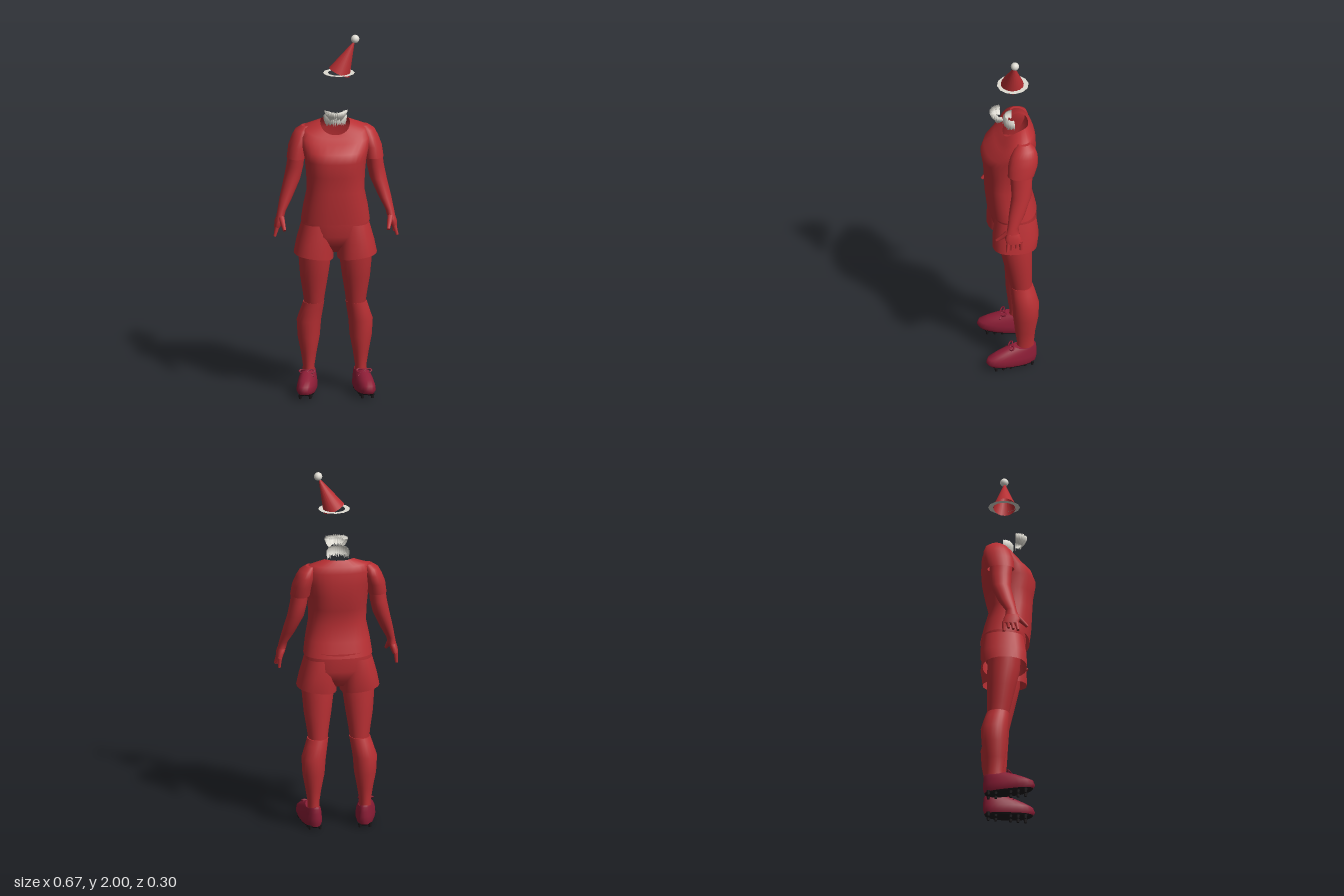
import * as THREE from 'three';

const mat = (name, color) => Object.assign(new THREE.MeshStandardMaterial({ color }), { name });

// Skin a stack of rings, bottom to top. Ring: [y, centreX, halfWidth, zFront, zBack, yFront, yBack]
function loft(rings, { n = 24, e = 2.3, bottom = false, top = false, side = 1, shear = 0 } = {}) {
  const pos = [], idx = [];
  const pw = (v) => Math.sign(v) * Math.abs(v) ** (2 / e);
  const addRing = ([y, cx, rx, zf, zb, yf = y, yb = y]) => {
    const start = pos.length / 3;
    for (let j = 0; j < n; j++) {
      const t = (j / n) * Math.PI * 2, s = pw(Math.sin(t));
      const z = (zf + zb) / 2 + ((zf - zb) / 2) * s;
      const x = side * (cx + shear * (z + 0.07)) + rx * pw(Math.cos(t));
      pos.push(x, y + (s * (yf - yb)) / 2 + s * s * ((yf + yb) / 2 - y), z);
    }
    return start;
  };
  const starts = rings.map(addRing);
  for (let i = 0; i < rings.length - 1; i++) {
    for (let j = 0; j < n; j++) {
      const k = (j + 1) % n, a = starts[i] + j, b = starts[i] + k, c = starts[i + 1] + j, d = starts[i + 1] + k;
      idx.push(a, c, b, b, c, d);
    }
  }
  const cap = (r, up) => {
    const s = addRing(r), z = (r[3] + r[4]) / 2, c = pos.length / 3;
    pos.push(side * (r[1] + shear * (z + 0.07)), r[0], z);
    for (let j = 0; j < n; j++) {
      const k = (j + 1) % n;
      up ? idx.push(c, s + k, s + j) : idx.push(c, s + j, s + k);
    }
  };
  if (bottom) cap(rings[0], false);
  if (top) cap(rings[rings.length - 1], true);
  const g = new THREE.BufferGeometry();
  g.setAttribute('position', new THREE.Float32BufferAttribute(pos, 3));
  g.setIndex(idx);
  g.computeVertexNormals();
  return g;
}

// Curved tuft of hair: rows of [radiusScale, y, jag] swept over a front-facing arc
function hairBand(rows, rx, rz, zc) {
  const n = 36, pos = [], idx = [];
  rows.forEach(([r, y, jag]) => {
    for (let j = 0; j <= n; j++) {
      const t = (j / n) * Math.PI;
      const tooth = jag * ((j % 2) * 0.6 + ((j * 7) % 5) * 0.1);
      pos.push(rx * r * Math.cos(t), y + tooth, zc + rz * r * Math.sin(t));
    }
  });
  for (let i = 0; i < rows.length - 1; i++) {
    for (let j = 0; j < n; j++) {
      const a = i * (n + 1) + j, c = a + n + 1;
      idx.push(a, c, a + 1, a + 1, c, c + 1);
    }
  }
  const g = new THREE.BufferGeometry();
  g.setAttribute('position', new THREE.Float32BufferAttribute(pos, 3));
  g.setIndex(idx);
  g.computeVertexNormals();
  return g;
}

export function createModel() {
  const model = new THREE.Group();
  const red = mat('red cloth', 0xb82f33);
  const crimson = mat('crimson shoe', 0x8c1d36);
  const white = mat('white fur', 0xdedbd2);
  const black = mat('black sole', 0x1d1a1c);
  [red, white].forEach((m) => (m.side = THREE.DoubleSide));

  const add = (name, geo, m, parent = model) => {
    const mesh = new THREE.Mesh(geo, m);
    mesh.name = name;
    parent.add(mesh);
    return mesh;
  };
  const V = (x, y, z) => new THREE.Vector3(x, y, z);
  // Tapered rod between two points
  const rod = (name, a, b, r0, r1, m, parent) => {
    const d = b.clone().sub(a);
    const mesh = add(name, new THREE.CylinderGeometry(r1, r0, d.length(), 8), m, parent);
    mesh.position.copy(a).add(b).multiplyScalar(0.5);
    mesh.quaternion.setFromUnitVectors(V(0, 1, 0), d.normalize());
    return mesh;
  };

  // Shirt with an open V neckline
  add('shirt', loft([
    [0.975, 0, 0.186, 0.122, -0.142],
    [1.06, 0, 0.174, 0.132, -0.122],
    [1.15, 0, 0.156, 0.136, -0.096],
    [1.24, 0, 0.158, 0.141, -0.118],
    [1.32, 0, 0.166, 0.155, -0.134],
    [1.375, 0, 0.178, 0.136, -0.139, 1.37, 1.39],
    [1.445, 0, 0.19, 0.08, -0.136, 1.413, 1.455],
    [1.486, 0, 0.165, 0.056, -0.125, 1.438, 1.49],
    [1.51, 0, 0.08, 0.036, -0.1, 1.455, 1.522],
  ], { n: 32, e: 2.4 }), red);

  // Shorts: hips, then one loose leg on each side
  add('shortsHips', loft([
    [0.8, 0, 0.06, 0.03, -0.08],
    [0.84, 0, 0.13, 0.07, -0.115],
    [0.9, 0, 0.192, 0.1, -0.143],
    [1.0, 0, 0.176, 0.102, -0.138],
  ], { n: 32, bottom: true }), red);

  for (const side of [1, -1]) {
    const limb = new THREE.Group();
    limb.name = side > 0 ? 'leftLimbs' : 'rightLimbs';
    model.add(limb);
    const part = (name, m, rings, opt = {}) => add(name, loft(rings, { side, ...opt }), m, limb);

    const shortsLeg = part('shortsLeg', red, [
      [0.778, 0.117, 0.107, 0.108, -0.13],
      [0.86, 0.11, 0.1, 0.106, -0.142],
      [0.96, 0.094, 0.088, 0.09, -0.13],
    ]);
    // Hem rises towards the outside
    const hem = shortsLeg.geometry.attributes.position;
    for (let i = 0; i < 24; i++) hem.setY(i, hem.getY(i) + 0.14 * (Math.abs(hem.getX(i)) - 0.117));

    part('thigh', red, [
      [0.48, 0.113, 0.05, 0.006, -0.105],
      [0.55, 0.113, 0.059, 0.022, -0.105],
      [0.65, 0.113, 0.075, 0.045, -0.106],
      [0.76, 0.11, 0.087, 0.07, -0.106],
      [0.86, 0.11, 0.085, 0.075, -0.1],
    ], { e: 2 });
    part('sock', red, [
      [0.08, 0.14, 0.033, -0.015, -0.115],
      [0.15, 0.14, 0.032, -0.02, -0.113],
      [0.22, 0.14, 0.043, -0.01, -0.12],
      [0.31, 0.14, 0.06, 0, -0.136],
      [0.4, 0.139, 0.066, 0.005, -0.141],
      [0.47, 0.122, 0.06, 0.01, -0.122],
      [0.505, 0.114, 0.057, 0.012, -0.111],
    ], { e: 2, top: true });

    // Sleeve, arm and hand
    part('sleeve', red, [
      [1.318, 0.208, 0.053, 0.04, -0.105],
      [1.38, 0.199, 0.053, 0.036, -0.125],
      [1.43, 0.183, 0.05, 0.02, -0.127],
      [1.465, 0.172, 0.042, 0, -0.115],
      [1.488, 0.155, 0.025, -0.025, -0.09],
    ], { e: 2, top: true });
    part('arm', red, [
      [1.0, 0.299, 0.022, 0.062, -0.01],
      [1.035, 0.291, 0.023, 0.052, -0.006],
      [1.1, 0.267, 0.034, 0.042, -0.045],
      [1.2, 0.232, 0.045, 0.022, -0.085],
      [1.27, 0.217, 0.046, 0.025, -0.092],
      [1.34, 0.208, 0.045, 0.03, -0.095],
    ], { e: 2 });
    part('palm', red, [
      [0.945, 0.315, 0.016, 0.062, -0.022],
      [0.975, 0.308, 0.021, 0.07, -0.02],
      [1.0, 0.299, 0.022, 0.062, -0.01],
    ], { n: 14, e: 2.4, bottom: true });
    for (let f = 0; f < 4; f++) {
      const z = 0.05 - f * 0.022;
      rod('finger', V(side * 0.314, 0.955, z), V(side * (0.33 - 0.004 * f), 0.9 + (f % 3) * 0.008, z * 1.15 + 0.002), 0.012, 0.008, red, limb);
    }
    rod('thumb', V(side * 0.293, 1.0, 0.05), V(side * 0.279, 0.945, 0.11), 0.017, 0.009, red, limb);

    // Shoe with sole, studs and laces, splayed slightly outwards
    const shear = 0.16;
    part('shoe', crimson, [
      [0.02, 0.14, 0.046, 0.138, -0.12, 0.03, 0.018],
      [0.04, 0.14, 0.054, 0.152, -0.127, 0.05, 0.04],
      [0.065, 0.14, 0.052, 0.142, -0.129, 0.075, 0.065],
      [0.088, 0.14, 0.047, 0.098, -0.127, 0.098, 0.092],
      [0.108, 0.14, 0.041, 0.05, -0.125, 0.118, 0.118],
      [0.118, 0.14, 0.036, 0.0, -0.118, 0.135, 0.128],
    ], { shear, top: true });
    part('sole', black, [
      [0.014, 0.14, 0.043, 0.132, -0.117, 0.024, 0.013],
      [0.022, 0.14, 0.048, 0.141, -0.122, 0.032, 0.02],
    ], { shear, bottom: true });
    for (const z of [-0.1, -0.06, 0.02, 0.06, 0.1]) {
      for (const dx of [-0.027, 0.027]) {
        const x = side * (0.14 + shear * (z + 0.07)) + dx;
        rod('stud', V(x, 0, z), V(x, 0.024, z), 0.007, 0.011, black, limb);
      }
    }
    for (const dx of [-1, 1]) {
      const bow = add('laceLoop', new THREE.TorusGeometry(0.016, 0.004, 6, 14), crimson, limb);
      bow.position.set(side * 0.154 + dx * 0.02, 0.127, 0.014);
      bow.rotation.set(-0.9, 0, dx * 0.4);
      bow.scale.set(1.3, 0.8, 1);
      rod('laceEnd', V(side * 0.154, 0.127, 0.018), V(side * 0.154 + dx * 0.034, 0.105, 0.035), 0.004, 0.004, crimson, limb);
    }
  }

  // Hair tufts floating over the neckline
  add('moustache', hairBand([
    [0.62, 1.588, 0.008], [1, 1.592, 0.012], [0.85, 1.57, 0.004], [0.55, 1.54, 0.025],
  ], 0.064, 0.064, 0.045), white);
  add('neckBeard', hairBand([
    [0.8, 1.562, 0.008], [1, 1.55, 0], [0.98, 1.528, 0], [0.85, 1.495, 0.03],
  ], 0.063, 0.056, -0.02), white);

  // Tilted cone hat with flat brim and bobble
  const hat = new THREE.Group();
  hat.name = 'hat';
  model.add(hat);
  const base = V(0.022, 1.793, -0.012), tip = V(0.106, 1.972, -0.012);
  const axis = tip.clone().sub(base);
  const cone = add('hatCone', new THREE.ConeGeometry(0.061, axis.length(), 20, 1, true), red, hat);
  cone.position.copy(base).add(tip).multiplyScalar(0.5);
  cone.quaternion.setFromUnitVectors(V(0, 1, 0), axis.normalize());
  const brim = add('hatBrim', new THREE.RingGeometry(0.06, 0.086, 12), white, hat);
  brim.rotation.x = -Math.PI / 2;
  brim.position.set(0.02, 1.79, -0.015);
  const bobble = add('hatBobble', new THREE.SphereGeometry(0.023, 12, 8), white, hat);
  bobble.position.set(0.107, 1.977, -0.014);
  return model;
}
